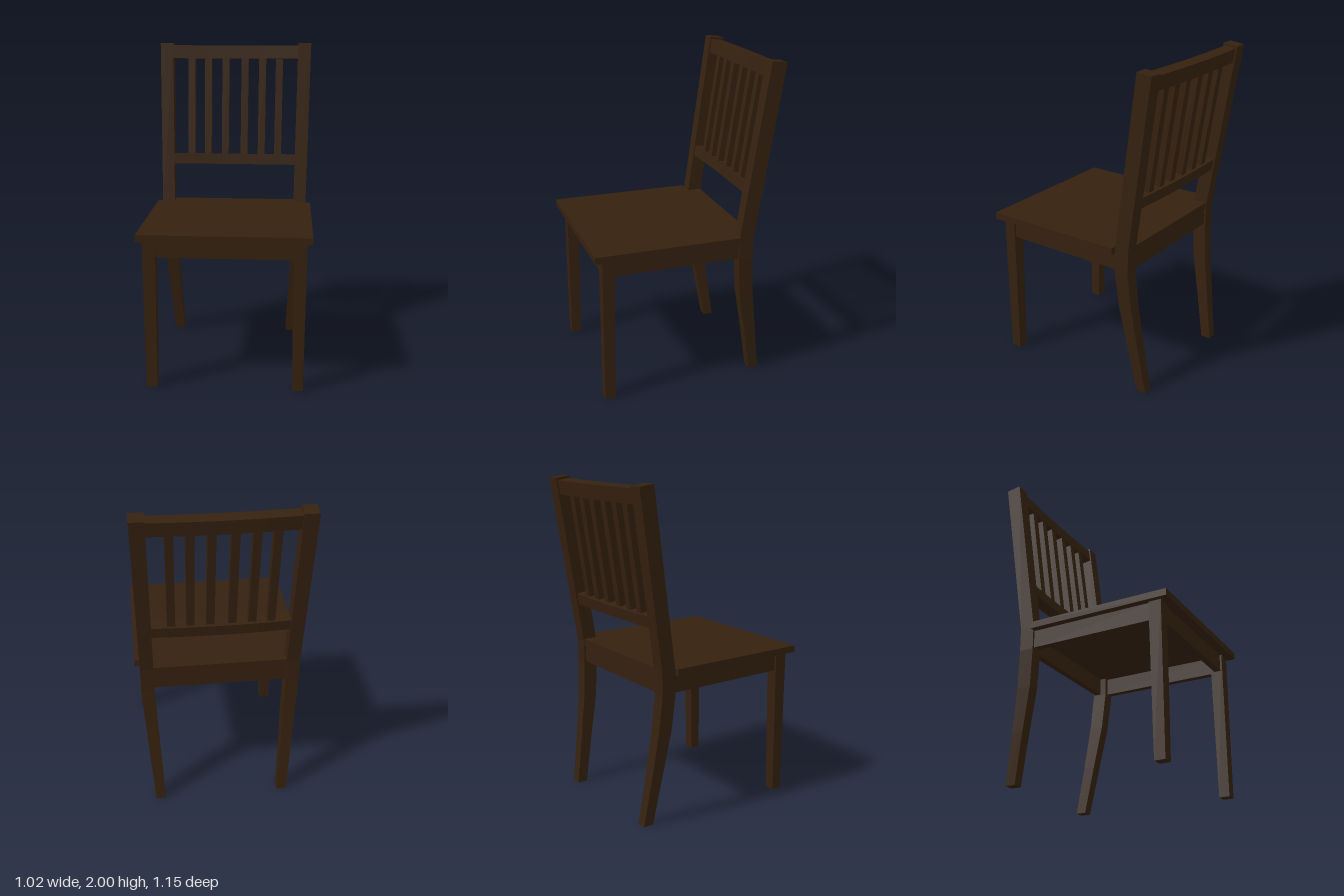
import * as THREE from 'three';

const wood = new THREE.MeshStandardMaterial({ color: 0x35210f });
wood.name = 'darkWood';

// Lofts a four-sided bar through sections [y, xMin, xMax, zBack, zFront, dropAtBack]
function bar(sections, side = 1) {
  const rings = sections.map(([y, xa, xb, zb, zf, drop = 0]) => {
    const x0 = Math.min(xa * side, xb * side), x1 = Math.max(xa * side, xb * side);
    return [[x0, y, zf], [x1, y, zf], [x1, y - drop, zb], [x0, y - drop, zb]];
  });
  const pos = [];
  const quad = (a, b, c, d) => pos.push(...a, ...b, ...c, ...a, ...c, ...d);
  for (let i = 0; i < rings.length - 1; i++) {
    const lo = rings[i], hi = rings[i + 1];
    for (let k = 0; k < 4; k++) {
      const n = (k + 1) % 4;
      quad(lo[k], lo[n], hi[n], hi[k]);
    }
  }
  const b = rings[0], t = rings[rings.length - 1];
  quad(b[3], b[2], b[1], b[0]);
  quad(t[0], t[1], t[2], t[3]);
  const geo = new THREE.BufferGeometry();
  geo.setAttribute('position', new THREE.Float32BufferAttribute(pos, 3));
  geo.computeVertexNormals();
  return geo;
}

// Back rail, bowed gently backwards and leaning with the posts
function rail(width, height, depth) {
  const geo = new THREE.BoxGeometry(width, height, depth, 12, 1, 1);
  const p = geo.attributes.position;
  for (let i = 0; i < p.count; i++) {
    const u = p.getX(i) / (width / 2);
    p.setZ(i, p.getZ(i) - 0.011 * (1 - u * u));
  }
  geo.computeVertexNormals();
  return geo;
}

export function createModel() {
  const chair = new THREE.Group();
  chair.name = 'chair';
  const add = (name, geo, x = 0, y = 0, z = 0) => {
    const mesh = new THREE.Mesh(geo, wood);
    mesh.name = name;
    mesh.position.set(x, y, z);
    chair.add(mesh);
    return mesh;
  };

  // Seat board, notched around the back posts
  const outline = [
    [-0.51, -0.573], [0.51, -0.573], [0.51, 0.326], [0.4, 0.326],
    [0.4, 0.415], [-0.4, 0.415], [-0.4, 0.326], [-0.51, 0.326],
  ].map(([x, y]) => new THREE.Vector2(x, y));
  const seat = new THREE.ExtrudeGeometry(new THREE.Shape(outline), { depth: 0.042, bevelEnabled: false });
  seat.rotateX(-Math.PI / 2);
  add('seat', seat, 0, 0.918, 0);

  // Legs, posts and side aprons
  for (const side of [1, -1]) {
    const label = side > 0 ? 'left' : 'right';
    add(label + 'FrontLeg', bar([
      [0, 0.405, 0.47, 0.46, 0.525],
      [0.92, 0.402, 0.48, 0.447, 0.525],
    ], side));
    add(label + 'BackLegAndPost', bar([
      [0, 0.36, 0.421, -0.51, -0.447],
      [0.3, 0.376, 0.445, -0.468, -0.395],
      [0.57, 0.389, 0.464, -0.433, -0.345],
      [0.8, 0.4, 0.48, -0.417, -0.326],
      [0.95, 0.4, 0.48, -0.419, -0.328],
      [2, 0.415, 0.5, -0.573, -0.48, 0.012],
    ], side));
    add(label + 'Apron', new THREE.BoxGeometry(0.04, 0.11, 0.8), side * 0.447, 0.864, 0.06);
  }

  // Front and back aprons
  add('frontApron', new THREE.BoxGeometry(0.83, 0.11, 0.04), 0, 0.864, 0.492);
  add('backApron', new THREE.BoxGeometry(0.83, 0.11, 0.04), 0, 0.864, -0.385);

  // Backrest rails
  const lean = -0.145;
  add('topRail', rail(0.84, 0.086, 0.074), 0, 1.937, -0.517).rotation.x = lean;
  add('lowerRail', rail(0.82, 0.068, 0.074), 0, 1.234, -0.413).rotation.x = lean;

  // Backrest slats, fanning out very slightly
  for (const side of [1, -1]) {
    for (const x of [0.063, 0.178, 0.288]) {
      add('slat', bar([
        [1.24, x - 0.023, x + 0.023, -0.441, -0.391],
        [1.92, x * 1.015 - 0.024, x * 1.015 + 0.024, -0.541, -0.491],
      ], side));
    }
  }
  return chair;
}
